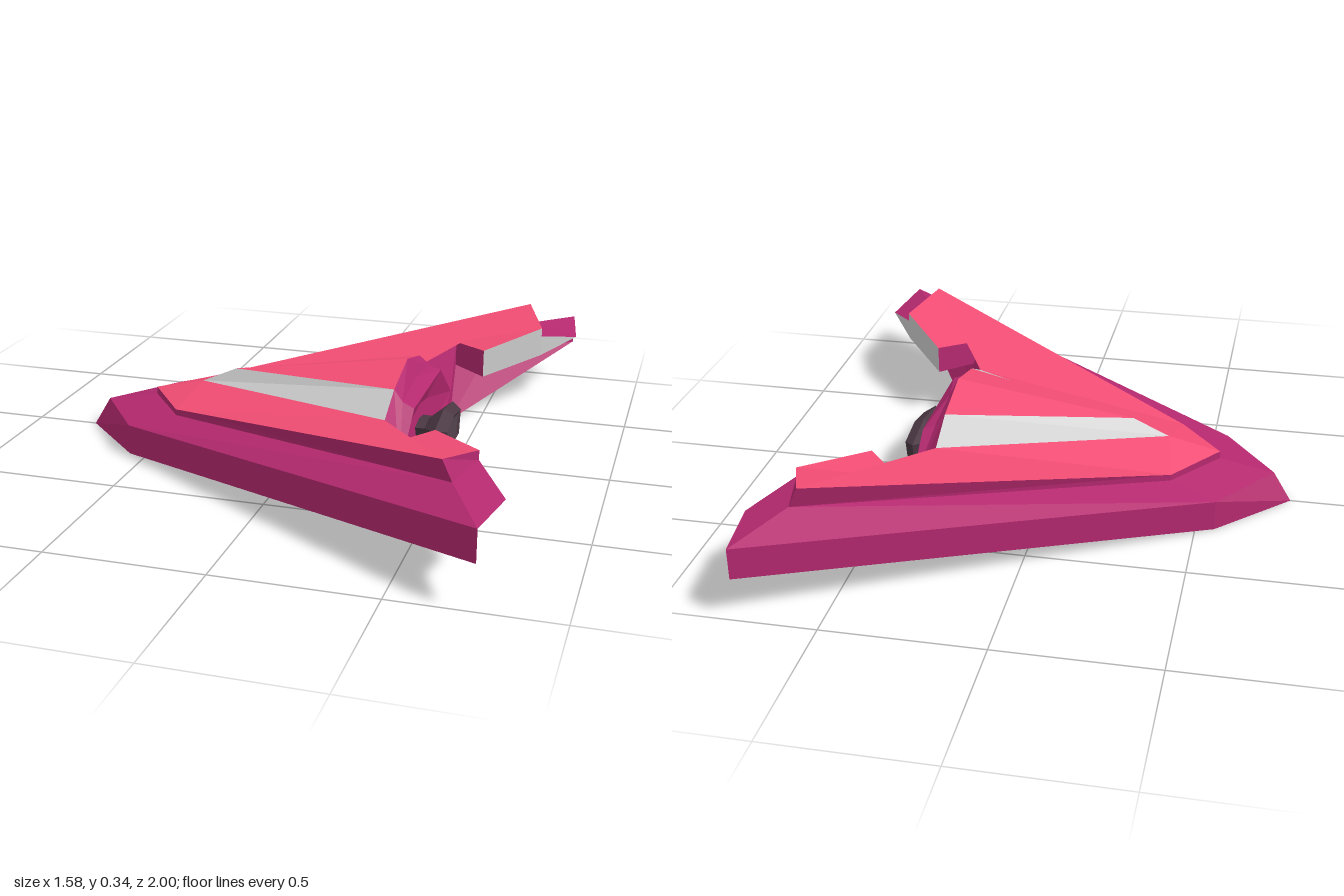
import * as THREE from 'three';

const COLORS = { trim: 0xb5296f, panel: 0xf34d74, grey: 0xcccccc, engine: 0x4a3742 };
const materials = {};
for (const key in COLORS) {
  materials[key] = new THREE.MeshStandardMaterial({ color: COLORS[key], flatShading: true });
}

// Corner points of the z >= 0 half; the nose points along -x
const V = {
  nose: [-0.79, 0, 0], noseTop: [-0.73, 0.1, 0],
  sideBot: [-0.56, 0, 0.23], sideTop: [-0.56, 0.1, 0.23],
  tipBot: [0.75, 0.14, 1], tipTop: [0.75, 0.24, 1], tipIn: [0.785, 0.23, 0.77],
  keel: [-0.5, 0, 0], keelMid: [0.4, 0, 0], keelEnd: [0.4, 0, 0.39],
  // inner edge of the rim
  r0: [-0.55, 0.135, 0], r1: [-0.41, 0.135, 0.18], r2: [0.64, 0.27, 0.79], r3: [0.68, 0.27, 0.61],
  // raised wing panel
  p0: [-0.55, 0.16, 0], p1: [-0.41, 0.155, 0.18], p2: [0.61, 0.335, 0.79],
  p3: [0.68, 0.3, 0.61], p4: [0.51, 0.265, 0.4], p5: [0.39, 0.25, 0.52],
  // wing underside behind the hull
  s: [0.68, 0.2, 0.61], t: [0.51, 0.17, 0.4], n: [0.39, 0.165, 0.52], f: [0.477, 0.165, 0.65],
  // canopy
  q: [-0.38, 0.2, 0], ridge: [-0.26, 0.255, 0],
  a0: [0.33, 0.345, 0], a1: [0.33, 0.3, 0.18], a2: [0.33, 0.24, 0.3],
  // stern frame and engine recess
  m0: [0.36, 0.285, 0], m1: [0.36, 0.265, 0.19],
  b0: [0.4, 0.25, 0], b1: [0.4, 0.25, 0.2], b2: [0.4, 0.11, 0.39],
  c0: [0.37, 0.19, 0], c1: [0.37, 0.17, 0.13], c2: [0.38, 0.05, 0.15], c3: [0.38, 0.05, 0],
  d: [0.4, 0, 0.2],
};

// Each part: name, material, and polygons (fanned from the first corner) with a rough outward direction
const PARTS = [
  ['hullSide', 'trim', [
    ['nose noseTop sideTop sideBot', [-1, 0, 1]],
    ['sideBot tipBot tipTop sideTop', [-0.5, 0, 1]],
  ]],
  ['hullRim', 'trim', [
    ['noseTop sideTop r1 r0', [0, 1, 0]],
    ['sideTop tipTop r2 r1', [0, 1, 0]],
    ['r2 tipTop tipIn r3', [0, 1, 0]],
  ]],
  ['panelWall', 'trim', [
    ['p0 p1 r1 r0', [-1, 0, 1]],
    ['p1 p2 r2 r1', [-0.5, 0, 1]],
    ['p2 p3 r3 r2', [1, 0, 0.2]],
    ['p4 p5 n t', [-1, 0, -1]],
  ]],
  ['wingUnderside', 'trim', [['f tipTop tipIn s t n', [0, -1, 0]]]],
  ['wingRear', 'trim', [
    ['f tipTop tipBot keelEnd', [1, 0, -0.5]],
    ['keelEnd f n b2', [1, 0, -0.3]],
    ['b2 n p5 a2', [1, 0, -0.2]],
  ]],
  ['wingPanel', 'panel', [
    ['q p0 p1 a2', [0, 1, 0]],
    ['p2 p1 a2 p5', [0, 1, 0]],
    ['p5 p2 p3 p4', [0, 1, 0]],
  ]],
  ['wingPanelEnd', 'grey', [
    ['p3 p4 t s', [1, 0, -1]],
    ['r3 tipIn s', [1, 0, -1]],
  ]],
  ['canopyStripe', 'grey', [['q ridge a1 a2', [0, 1, 0.3]]]],
  ['canopyTop', 'panel', [['ridge a0 a1', [0, 1, 0]]]],
  ['sternFrame', 'trim', [
    ['a0 a1 m1 m0', [1, 0.3, 0]],
    ['a1 a2 b2 m1', [1, 0.3, 0]],
    ['m0 m1 b1 b0', [0.5, 1, 0]],
    ['m1 b2 b1', [1, 0.5, 0.2]],
    ['b0 b1 c1 c0', [0.5, -1, 0]],
    ['b2 keelEnd d c2 c1 b1', [1, 0, 0]],
    ['keelMid d c2 c3', [1, 0.3, 0]],
    ['c0 c1 c2 c3', [1, 0, 0]],
  ]],
  ['hullBottom', 'grey', [['keel nose sideBot tipBot keelEnd', [0, -1, 0]]]],
  ['keelPlate', 'panel', [['keel keelEnd keelMid', [0, -1, 0]]]],
];

function makeGeometry(positions) {
  const g = new THREE.BufferGeometry();
  g.setAttribute('position', new THREE.Float32BufferAttribute(positions, 3));
  g.computeVertexNormals();
  return g;
}

// Fan the polygons into triangles, turned to face outward; side = -1 mirrors across z
function facets(polygons, side) {
  const out = [];
  for (const [names, dir] of polygons) {
    const pts = names.split(' ').map((k) => new THREE.Vector3(V[k][0], V[k][1], V[k][2] * side));
    const hint = new THREE.Vector3(dir[0], dir[1], dir[2] * side);
    for (let i = 1; i < pts.length - 1; i++) {
      const tri = [pts[0], pts[i], pts[i + 1]];
      const normal = tri[1].clone().sub(tri[0]).cross(tri[2].clone().sub(tri[0]));
      if (normal.dot(hint) < 0) tri.reverse();
      tri.forEach((p) => out.push(p.x, p.y, p.z));
    }
  }
  return out;
}

// Five-sided engine outline (z, y about its centre), scaled along x
const OUTLINE = [[0, 0.07], [0.15, 0.045], [0.125, -0.06], [-0.125, -0.06], [-0.15, 0.045]];
const ring = (x, k) => OUTLINE.map(([z, y]) => [x, 0.115 + y * k, z * k]);

function createEngine() {
  const engine = new THREE.Group();
  engine.name = 'engine';
  const rings = [[0.37, 0.42], [0.405, 0.42], [0.42, 0.6], [0.455, 1], [0.49, 0.74], [0.485, 0.56], [0.45, 0.42]]
    .map(([x, k]) => ring(x, k));
  const body = [];
  for (let r = 0; r < rings.length - 1; r++) {
    for (let i = 0; i < 5; i++) {
      const j = (i + 1) % 5;
      const a = rings[r][i], b = rings[r][j], c = rings[r + 1][j], d = rings[r + 1][i];
      body.push(...a, ...d, ...b, ...b, ...d, ...c);
    }
  }
  const nozzle = new THREE.Mesh(makeGeometry(body), materials.engine);
  nozzle.material.side = THREE.DoubleSide;
  nozzle.name = 'engineNozzle';

  // Bright disc inside the nozzle
  const last = rings[rings.length - 1];
  const cap = [];
  for (let i = 1; i < 4; i++) cap.push(...last[0], ...last[i + 1], ...last[i]);
  const core = new THREE.Mesh(makeGeometry(cap), materials.grey.clone());
  core.material.side = THREE.DoubleSide;
  core.name = 'engineCore';
  engine.add(nozzle, core);
  return engine;
}

export function createModel() {
  const model = new THREE.Group();
  model.name = 'spacecraft';
  for (const [name, color, polygons] of PARTS) {
    const positions = [...facets(polygons, 1), ...facets(polygons, -1)];
    const mesh = new THREE.Mesh(makeGeometry(positions), materials[color]);
    mesh.name = name;
    model.add(mesh);
  }
  model.add(createEngine());
  return model;
}
